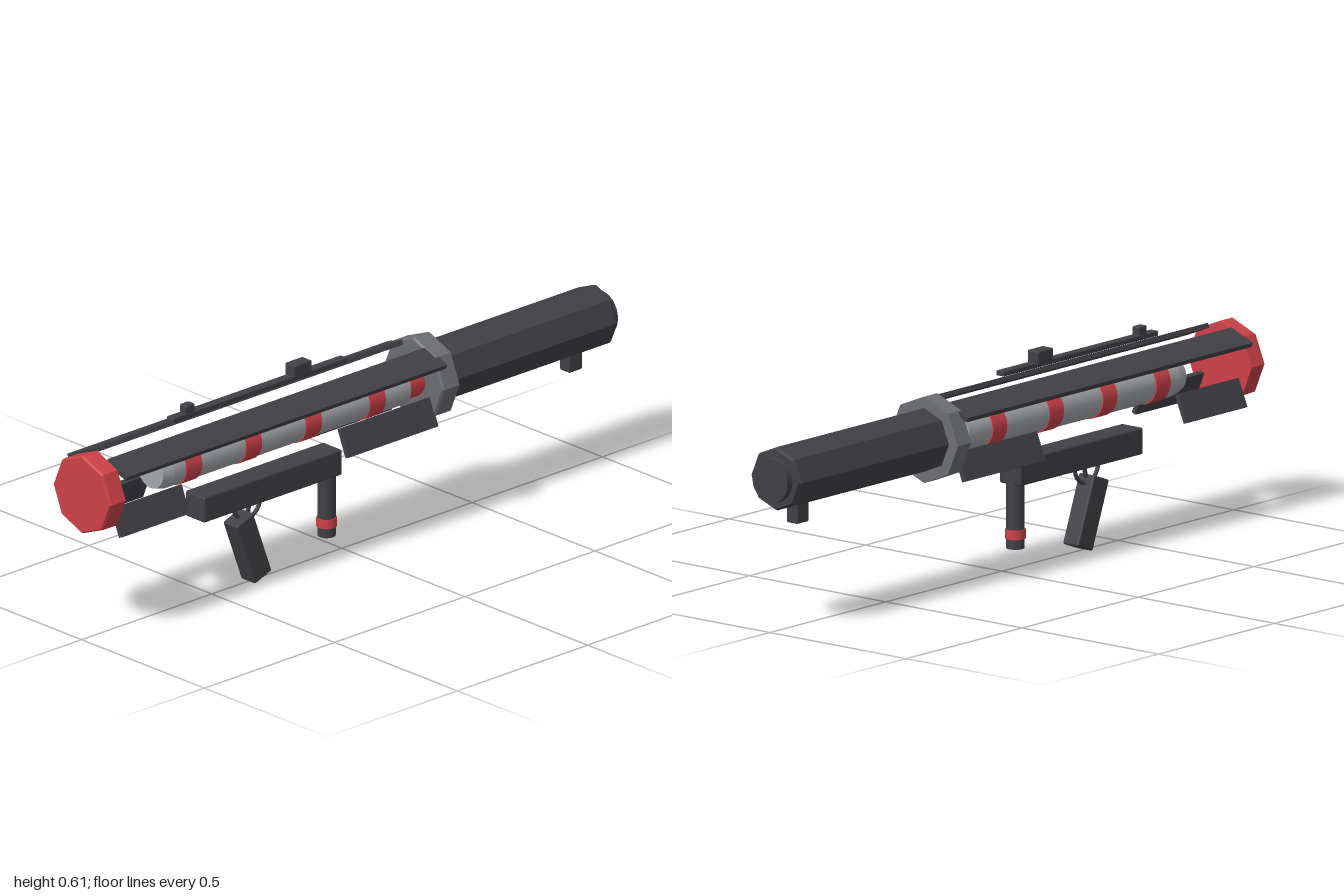
import * as THREE from 'three';
import { RoundedBoxGeometry } from 'three/addons/geometries/RoundedBoxGeometry.js';

const AXIS_Y = 0.439; // height of the launcher's main axis

function paint(name, color, flatShading = false) {
  const m = new THREE.MeshStandardMaterial({ color, flatShading });
  m.name = name;
  return m;
}

export function createModel() {
  const model = new THREE.Group();
  model.name = 'launcher';
  const dark = paint('charcoal', 0x414045);
  const darkFlat = paint('charcoal faceted', 0x414045, true);
  const redFlat = paint('red faceted', 0xce4148, true);
  const red = paint('red', 0xce4148);
  const steel = paint('light grey', 0xa3a6a9);
  const collarGrey = paint('mid grey', 0x6d6e72, true);

  function add(name, geometry, material, x = 0, y = 0, z = 0) {
    const mesh = new THREE.Mesh(geometry, material);
    mesh.name = name;
    mesh.position.set(x, y, z);
    model.add(mesh);
    return mesh;
  }
  // Cylinder on the main axis between two z positions
  function barrel(name, z0, z1, r0, r1, sides, material) {
    const g = new THREE.CylinderGeometry(r1, r0, z1 - z0, sides).rotateX(Math.PI / 2);
    return add(name, g, material, 0, AXIS_Y, (z0 + z1) / 2);
  }
  // Slightly softened box given by its extents in y and z
  function block(name, w, y0, y1, z0, z1, r = 0.004) {
    const g = new RoundedBoxGeometry(w, y1 - y0, z1 - z0, 2, r);
    return add(name, g, dark, 0, (y0 + y1) / 2, (z0 + z1) / 2);
  }

  // Octagonal muzzle cap, collar and rear tube
  barrel('muzzleCap', 0.94, 0.993, 0.117, 0.117, 8, redFlat);
  barrel('muzzleCapBevel', 0.993, 1.0, 0.117, 0.113, 8, redFlat);
  barrel('collar', -0.335, -0.278, 0.124, 0.124, 8, collarGrey);
  barrel('collarBevel', -0.278, -0.272, 0.124, 0.119, 8, collarGrey);
  barrel('rearTube', -0.968, -0.335, 0.091, 0.091, 8, darkFlat);
  barrel('rearTubeBevel', -0.978, -0.968, 0.086, 0.091, 8, darkFlat);
  barrel('rearPlug', -1.0, -0.978, 0.065, 0.065, 16, dark);
  block('rearLug', 0.04, 0.3, 0.37, -0.905, -0.855);

  // Inner rocket with red bands
  barrel('rocketBody', -0.21, 0.7, 0.06, 0.06, 20, steel);
  barrel('rocketTip', 0.7, 0.735, 0.06, 0.052, 20, steel);
  barrel('rocketNeck', -0.275, -0.21, 0.05, 0.05, 20, red);
  for (const z of [0.625, 0.395, 0.165, -0.08]) {
    barrel('rocketBand', z - 0.03, z + 0.03, 0.063, 0.063, 20, red);
  }

  // Mirrored guard plates around the rocket
  for (const s of [1, -1]) {
    const plate = (name, x, y, z0, z1, angle) => {
      const g = new THREE.BoxGeometry(0.085, 0.014, z1 - z0);
      add(name, g, dark, s * x, y, (z0 + z1) / 2).rotation.z = s * angle;
    };
    plate('upperGuard', 0.08, 0.521, -0.29, 0.94, -Math.PI / 8);
    plate('lowerFrontGuard', 0.079, 0.361, 0.68, 0.94, -Math.PI * 3 / 8);
    plate('lowerRearGuard', 0.079, 0.361, -0.275, 0.07, -Math.PI * 3 / 8);
  }

  // Sight rail
  block('sightRail', 0.028, 0.564, 0.579, -0.008, 0.66, 0.003);
  block('rearSight', 0.04, 0.574, 0.612, 0.133, 0.2);
  block('frontSight', 0.026, 0.574, 0.603, 0.577, 0.612);

  // Lower housing and tilted pistol grip
  block('housing', 0.078, 0.245, 0.322, 0.035, 0.565, 0.006);
  block('pistolGrip', 0.058, 0.0075, 0.2125, 0.328, 0.398, 0.006).rotation.x = 0.356;

  // Trigger guard ring and trigger
  const ring = new THREE.TorusGeometry(0.051, 0.006, 8, 28).rotateY(Math.PI / 2);
  add('triggerGuard', ring, dark, 0, 0.244, 0.365);
  block('trigger', 0.01, 0.208, 0.25, 0.352, 0.364, 0.003).rotation.x = -0.2;

  // Front grip with red ring
  const post = (name, y0, y1, r, m) =>
    add(name, new THREE.CylinderGeometry(r, r, y1 - y0, 20), m, 0, (y0 + y1) / 2, 0.059);
  post('foregrip', 0.06, 0.25, 0.026, dark);
  post('foregripBand', 0.088, 0.115, 0.029, red);

  return model;
}
